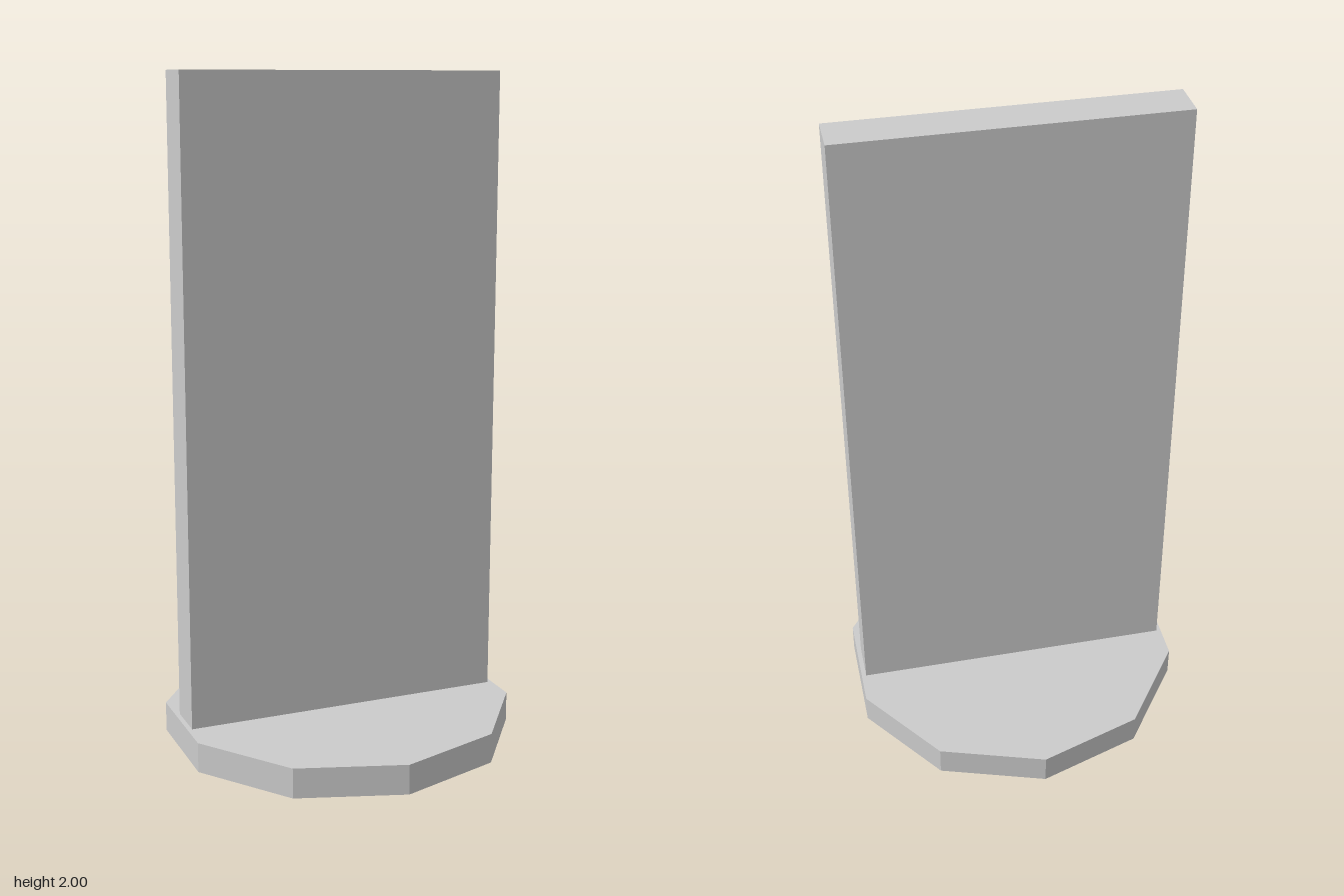
import * as THREE from 'three';

export function createModel() {
  const model = new THREE.Group();
  const material = new THREE.MeshStandardMaterial({ color: 0xcccccc, flatShading: true });

  const baseHeight = 0.09;
  const totalHeight = 2;

  // Ten-sided foot plate, corners pointing to front and back
  const base = new THREE.Mesh(new THREE.CylinderGeometry(0.532, 0.532, baseHeight, 10), material);
  base.name = 'base';
  base.position.y = baseHeight / 2;
  model.add(base);

  // Upright slab standing on the plate
  const panelHeight = totalHeight - baseHeight;
  const panel = new THREE.Mesh(new THREE.BoxGeometry(0.984, panelHeight, 0.126), material);
  panel.name = 'panel';
  panel.position.y = baseHeight + panelHeight / 2;
  model.add(panel);

  return model;
}
